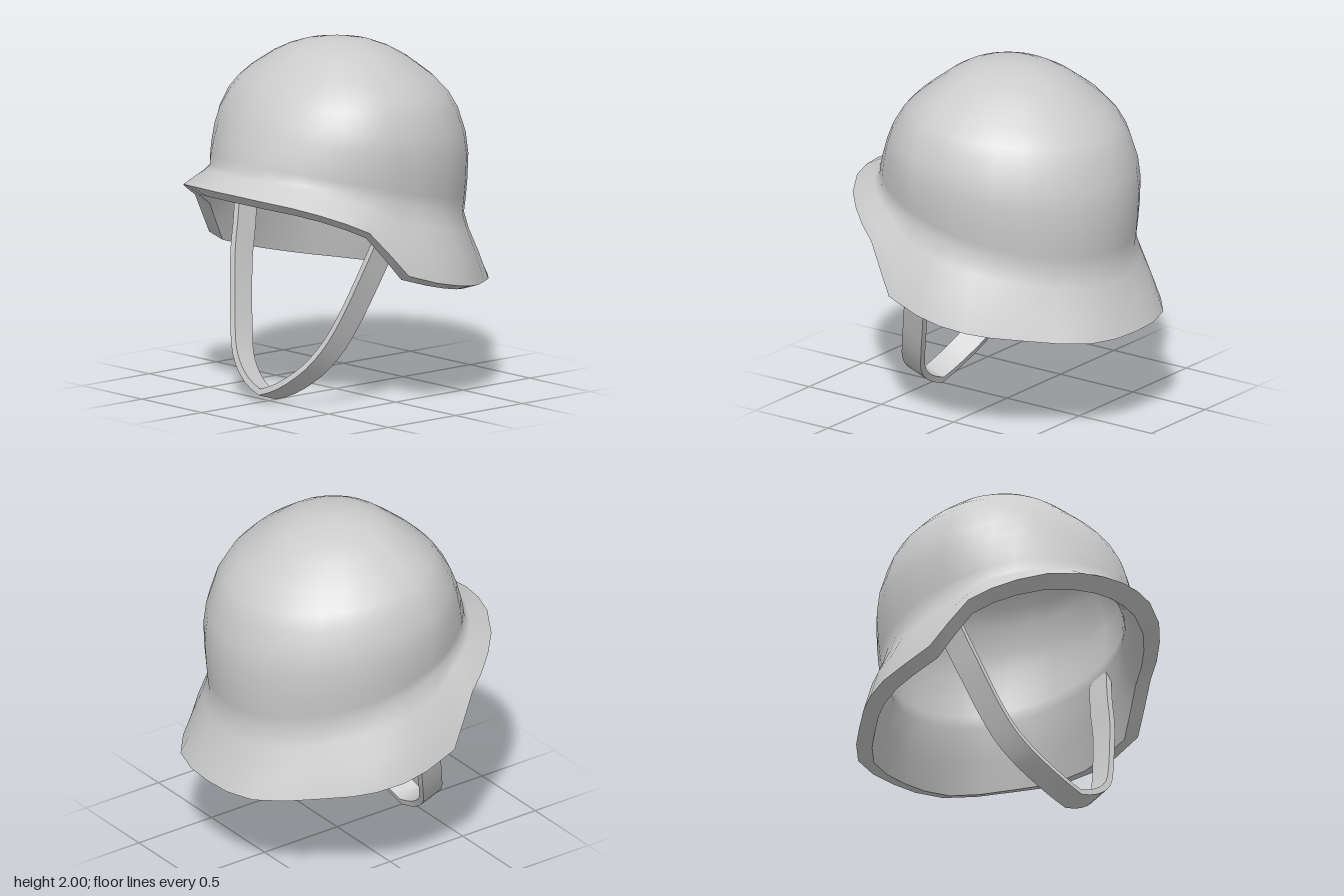
import * as THREE from 'three';
import { mergeVertices, toCreasedNormals } from 'three/addons/utils/BufferGeometryUtils.js';

const material = new THREE.MeshStandardMaterial({ color: 0xcccccc });

// Half of the rim outline, front to back: x, y, z
const halfRim = [
  [0, 1.24, 0.89], [0.13, 1.237, 0.877], [0.27, 1.225, 0.838], [0.45, 1.195, 0.735],
  [0.57, 1.155, 0.625], [0.665, 1.105, 0.51], [0.73, 1.05, 0.4], [0.785, 0.925, 0.3],
  [0.835, 0.795, 0.2], [0.85, 0.73, 0], [0.84, 0.695, -0.15], [0.79, 0.665, -0.3],
  [0.72, 0.645, -0.42], [0.6, 0.625, -0.57], [0.48, 0.605, -0.71], [0.34, 0.59, -0.83],
  [0.17, 0.582, -0.88], [0, 0.58, -0.89],
];
const rim = [...halfRim, ...halfRim.slice(1, -1).reverse().map(([x, y, z]) => [-x, y, z])]
  .map((p) => new THREE.Vector3(...p));

// Dome profile from crown to brow: height fraction, radius at sides and back, radius at front
const profile = [
  [1, 0, 0], [0.993, 0.13, 0.12], [0.97, 0.28, 0.24], [0.93, 0.42, 0.34], [0.88, 0.54, 0.42],
  [0.77, 0.735, 0.55], [0.68, 0.85, 0.65], [0.59, 0.92, 0.735], [0.45, 0.98, 0.825],
  [0.33, 1, 0.88], [0.19, 0.993, 0.935], [0.08, 0.98, 0.97], [0, 0.967, 0.986],
];

// One ring of the dome, following the tilted brow line at its foot
function domeRing([h, side, front], inset) {
  return rim.map((p) => {
    const a = Math.atan2(p.x / 0.695, p.z / 0.75);
    const c = Math.cos(a);
    const w = Math.max(0, c) ** 2;
    const r = THREE.MathUtils.lerp(side, front, w) * (1 - inset);
    const foot = 1.14 + 0.19 * c;
    return new THREE.Vector3(
      Math.sin(a) * 0.695 * r,
      foot + (2 - foot) * h - inset * 0.7,
      c * (c > 0 ? 0.74 : 0.77) * r,
    );
  });
}

// Ring between the dome foot and a rim, bulging outward at the sides
const flareRing = (from, to, t, ty, bulge) => from.map((p, i) => {
  const q = p.clone().lerp(to[i], t + bulge * (to[i].x / 0.85) ** 2);
  q.y = THREE.MathUtils.lerp(p.y, to[i].y, ty);
  return q;
});

// Skin over closed rings; neighbouring rings share smooth normals
function loft(rings) {
  const n = rings[0].length;
  const index = [];
  for (let r = 0; r < rings.length - 1; r++) {
    for (let c = 0; c < n; c++) {
      const d = (c + 1) % n;
      const [a, b, e, f] = [r * n + c, (r + 1) * n + c, r * n + d, (r + 1) * n + d];
      index.push(a, b, e, e, b, f);
    }
  }
  const geometry = new THREE.BufferGeometry().setFromPoints(rings.flat());
  geometry.setIndex(index);
  const merged = mergeVertices(geometry, 1e-4);
  merged.computeVertexNormals();
  return merged;
}

function part(name, geometry) {
  const mesh = new THREE.Mesh(geometry, material);
  mesh.name = name;
  return mesh;
}

// Flat band swept along a mirrored curve
function strapGeometry() {
  const half = new THREE.CatmullRomCurve3([
    [0, 0.04, 0.505], [0.1, 0.075, 0.495], [0.2, 0.133, 0.47], [0.3, 0.22, 0.425],
    [0.38, 0.34, 0.365], [0.45, 0.5, 0.305], [0.525, 0.72, 0.235], [0.572, 0.9, 0.17],
    [0.635, 1.12, 0.1],
  ].map((p) => new THREE.Vector3(...p)));
  const steps = 20;
  const positions = [];
  const index = [];
  for (let i = -steps; i <= steps; i++) {
    const t = Math.abs(i) / steps;
    const s = i < 0 ? -1 : 1;
    const p = half.getPointAt(t);
    const tangent = half.getTangentAt(t);
    if (i === 0) tangent.set(1, 0, 0);
    const across = new THREE.Vector3(0, 0.02 + 0.02 * t, 0.065);
    const out = tangent.cross(across).normalize().multiplyScalar(0.018);
    for (const [u, v] of [[1, 1], [-1, 1], [-1, -1], [1, -1]]) {
      const q = p.clone().addScaledVector(across, u).addScaledVector(out, v);
      positions.push(q.x * s, q.y, q.z);
    }
  }
  const last = steps * 2 * 4;
  for (let k = 0; k < last; k += 4) {
    for (let j = 0; j < 4; j++) {
      const m = (j + 1) % 4;
      index.push(k + j, k + m, k + 4 + j, k + m, k + 4 + m, k + 4 + j);
    }
  }
  index.push(0, 2, 1, 0, 3, 2, last, last + 1, last + 2, last, last + 2, last + 3);
  const geometry = new THREE.BufferGeometry();
  geometry.setAttribute('position', new THREE.Float32BufferAttribute(positions, 3));
  geometry.setIndex(index);
  return toCreasedNormals(geometry, 0.7);
}

export function createModel() {
  const model = new THREE.Group();
  model.name = 'helmet';

  // Outer shell: dome, then flared brim
  const dome = profile.map((row) => domeRing(row, 0));
  const foot = dome[dome.length - 1];
  model.add(part('outerShell', loft([
    ...dome, flareRing(foot, rim, 0.18, 0.25, 0.06), flareRing(foot, rim, 0.55, 0.6, 0.16), rim,
  ])));

  // Thick rim edge, deeper at the front
  const innerRim = rim.map((p) => new THREE.Vector3(
    p.x * 0.895, p.y - 0.027 - 0.04 * Math.max(0, p.z / 0.89), p.z * 0.895,
  ));
  model.add(part('rimEdge', loft([rim, innerRim])));

  // Lining surface, from rim up to the crown
  const lining = profile.map((row) => domeRing(row, 0.07)).reverse();
  model.add(part('innerShell', loft([
    innerRim, flareRing(lining[0], innerRim, 0.45, 0.55, 0.14), ...lining,
  ])));

  model.add(part('chinStrap', strapGeometry()));

  return model;
}
